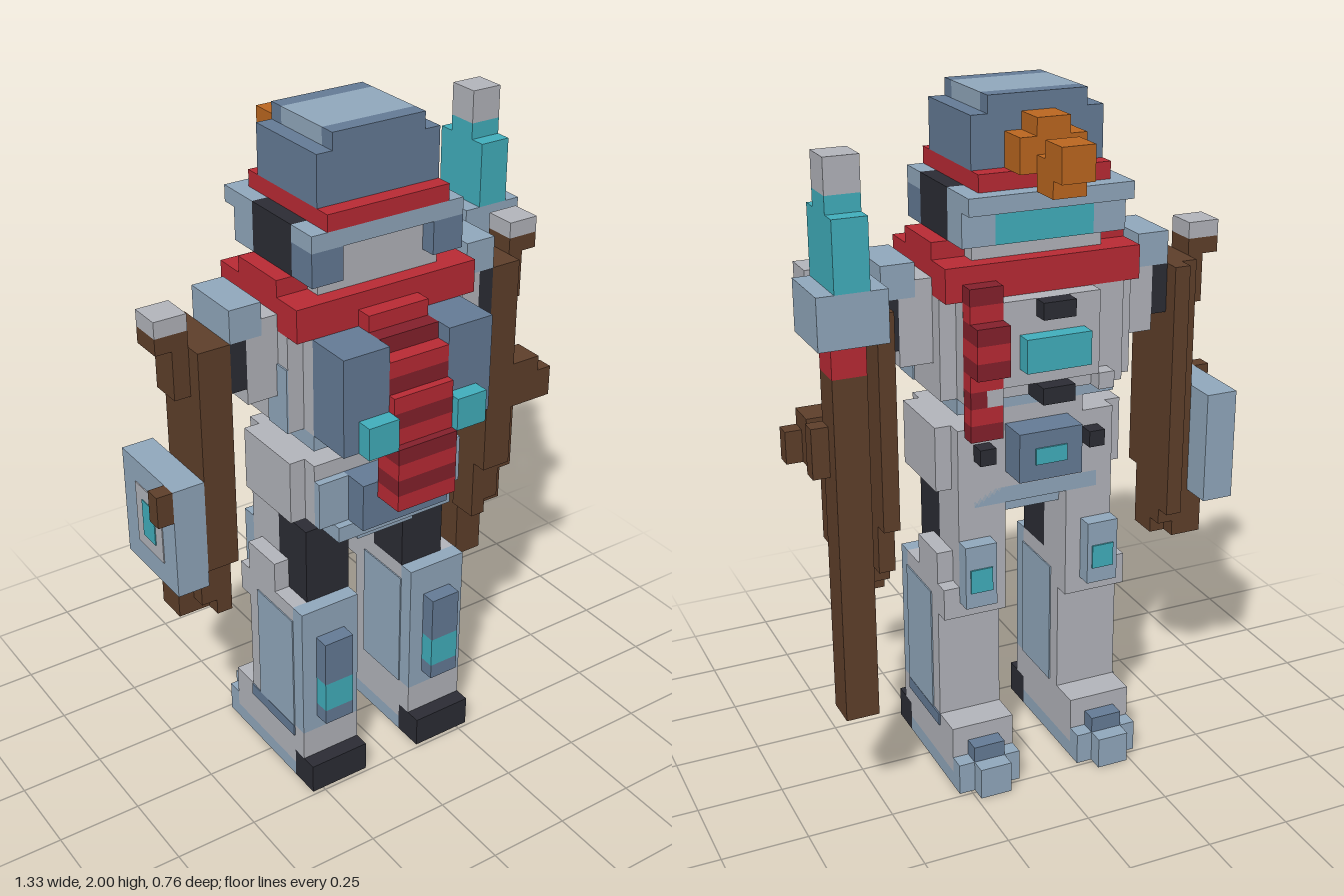
import * as THREE from 'three';

const U = 1 / 21; // one block
const mat = (name, color) => {
  const m = new THREE.MeshStandardMaterial({ color });
  m.name = name;
  return m;
};

export function createModel() {
  const steel = mat('steelBlue', 0x667d98), light = mat('paleBlue', 0x93aabf), grey = mat('grey', 0xb5b7be),
    black = mat('charcoal', 0x2c2d35), red = mat('red', 0xbc2b35), wine = mat('darkRed', 0x86212c),
    teal = mat('teal', 0x42b1bf), wood = mat('brown', 0x60402b), orange = mat('orange', 0xbe6820);
  const model = new THREE.Group();
  model.name = 'blockRobot';

  // box from block ranges; pair also adds the mirrored copy
  const box = (name, m, x0, x1, y0, y1, z0, z1) => {
    const mesh = new THREE.Mesh(new THREE.BoxGeometry((x1 - x0) * U, (y1 - y0) * U, (z1 - z0) * U), m);
    mesh.position.set((x0 + x1) / 2 * U, (y0 + y1) / 2 * U, (z0 + z1) / 2 * U);
    mesh.name = name;
    model.add(mesh);
  };
  const pair = (name, m, x0, x1, ...r) => {
    box(name + 'Left', m, x0, x1, ...r);
    box(name + 'Right', m, -x1, -x0, ...r);
  };

  // feet
  pair('toe', black, 2, 6, 0, 2, 3, 5);
  pair('sole', light, 2, 6, 0, 1, -5, 3);
  pair('foot', grey, 2, 6, 1, 2, -4, 3);
  pair('ankle', grey, 2, 6, 2, 4, -4, 4);
  pair('heelTop', steel, 3, 5, 2, 3, -5, -4);
  pair('heelBase', light, 2, 6, 1, 2, -5, -4);
  pair('heelTip', light, 3, 5, 0, 2, -6, -5);

  // shins with front and side armour
  pair('shin', grey, 2, 6, 4, 13, -2, 3);
  pair('calfTop', grey, 2, 6, 11, 13, -3, -2);
  pair('shinFront', light, 2, 6, 4, 13, 3, 4);
  pair('shinSide', light, 6, 6.08, 4, 12, -1, 3);
  pair('shinInner', light, 1.92, 2, 4, 12, -1, 3);
  pair('shinTrim', steel, 6, 6.1, 3.2, 4, -2, 3);
  pair('kneeGuardTop', steel, 3, 5, 8, 11, 4, 5);
  pair('kneeLight', teal, 3, 5, 6, 8, 4, 5);
  pair('kneeGuardBase', steel, 3, 5, 5, 6, 4, 5);
  pair('kneeBack', light, 3, 5, 12, 16, -4, -3);
  pair('kneeBackLight', teal, 3.3, 4.7, 13, 14.5, -4.1, -4);

  // thighs
  pair('thigh', black, 2, 5, 13, 18, 0, 3);
  pair('thighBack', grey, 2, 5, 13, 19, -3, 0);
  pair('thighSide', grey, 5, 6, 13, 15, -2, 1);

  // pelvis and waist
  box('crotch', light, -2, 2, 17, 18, -2, 4);
  box('pelvisBase', light, -4, 4, 18, 19, -3, 5);
  box('pelvis', grey, -5, 5, 19, 23, -3, 4);
  pair('hip', grey, 5, 6, 19, 23, -2, 3);
  box('frontBelt', steel, -3, 3, 19, 22, 4, 6);
  pair('beltSide', light, 3, 5, 19, 22, 4, 4.5);
  box('buckle', steel, -2, 2, 20, 23, -5, -3);
  box('buckleLight', teal, -1, 1, 21, 22, -5.1, -5);
  pair('beltStud', black, 3, 4, 21, 22, -4, -3);
  box('waist', grey, -3, 3, 23, 24, -3, 3);
  box('waistRib', light, -5, 5, 24, 25, -3, 4);

  // torso
  box('torso', grey, -5, 5, 25, 31, -4, 4);
  pair('ribs', grey, 5, 6, 25, 31, -3, 3);
  pair('ribPlate', light, 6, 6.1, 25, 29, 1, 3);
  pair('chestPlate', steel, 2, 5, 25, 31, 4, 7);
  box('chestCore', steel, -2, 2, 25, 31, 4, 5);
  pair('chestLight', teal, 2, 4, 25, 27, 7, 8);
  box('backPlate', grey, -3, 3, 26, 31, -5, -4);
  box('backLight', teal, -2, 2, 27, 29, -6, -5);
  box('backVentLow', black, -1, 1, 25, 26, -6, -4);
  box('backVentHigh', black, -1, 1, 30, 31, -6, -5);
  pair('backRib', grey, 3, 4, 25, 26, -5, -4);

  // scarf: collar, front strip and back tail
  box('scarfCollar', red, -6, 6, 31, 33, -4, 4);
  pair('scarfRoll', red, 4, 6, 33, 34, -2, 2);
  box('scarfKnot', red, -2, 2, 31, 32, 4, 5);
  for (let y = 21; y < 31; y++) {
    const z = y < 25 ? 8 : y < 28 ? 7.5 : y < 30 ? 7 : 6;
    box('scarfStripe', y % 2 ? red : wine, -2, 2, y, y + 1, y < 25 ? 6 : 5, z);
  }
  for (let y = 23; y < 32; y++) {
    const out = y > 26 && y < 30 ? -6 : -5;
    box('scarfTail', y % 2 ? wine : red, 3, 5, y, y + 1, out, out === -6 ? -4 : -4.01);
  }

  // head and helmet
  box('head', grey, -4, 4, 33, 36, -3, 3);
  pair('ear', black, 4, 5, 34, 37, -2, 2);
  pair('cheek', steel, 3, 5, 34, 36, 2, 4);
  pair('cheekBack', light, 3, 5, 34, 36, -4, -2);
  box('rearVisor', teal, -3, 3, 34, 36, -4, -3);
  box('browFront', light, -5, 5, 36, 37, 2, 4);
  box('browBack', light, -5, 5, 36, 37, -5, -2);
  box('headTop', black, -4, 4, 36, 37, -2, 2);
  box('hatBand', red, -4, 4, 37, 38, -4, 4);
  box('hatCrown', steel, -4, 4, 38, 41, -3, 3);
  box('hatLid', light, -3, 3, 41, 42, -2, 2);
  box('hatLidFront', steel, -3, 3, 41, 42, 2, 3);
  box('hatLidBack', steel, -3, 3, 41, 42, -3, -2);

  // feather-like ornament behind the hat
  box('ornamentBase', orange, -2, 2, 38, 40, -5, -3);
  box('ornamentPeak', orange, -1, 1, 40, 41, -5, -3);
  box('ornamentStem', orange, -1, 1, 37, 39, -7, -5);
  box('ornamentTip', orange, -1, 1, 38, 40, -8, -6);

  // arms
  pair('upperArm', grey, 6, 8, 27, 31, -2, 2);
  pair('shoulder', grey, 6, 7, 31, 32, -2, 2);
  pair('shoulderPad', light, 7, 9, 31, 33, -2, 2);
  pair('armJoint', black, 8, 9, 28, 31, -2, 2);
  pair('forearm', wood, 9, 11, 17, 31, -2, 2);
  pair('forearmBack', wood, 9, 10, 15, 31, -3, -2);
  pair('hand', wood, 9, 11, 14, 17, -2, 1);
  pair('finger', wood, 9, 10, 13, 14, -1, 1);
  pair('fingerTip', wood, 10, 12, 13, 16, -2, 0);
  pair('branch', wood, 11, 12, 28, 31, -1, 1);
  pair('branchTop', wood, 11, 13, 31, 32, -1, 1);
  pair('branchCap', grey, 11, 13, 32, 33, -1, 1);
  pair('twig', wood, 13, 14, 21, 23, 1, 2);
  box('gripRoot', wood, 9, 10, 18, 31, -4, -3);
  box('grip', wood, 11, 13, 21, 24, 0, 2);
  box('gripLow', wood, 11, 12, 16, 21, -1, 1);

  // shield on the right arm
  box('shield', light, -13, -11, 16, 23, -4, 2);
  box('shieldRing', grey, -13.06, -13, 17.5, 21.5, -2.5, 0.5);
  box('shieldLight', teal, -13.12, -13.06, 18.3, 20.7, -1.7, -0.3);

  // staff by the left arm
  box('staffShaft', wood, 11, 13, 7, 28, -5, -3);
  box('staffKnob', wood, 13, 14, 22, 25, -4, -3);
  box('staffBinding', red, 11, 13, 28, 30, -5, -3);
  box('staffCup', light, 10, 14, 30, 33, -6, -2);
  box('staffCrystal', teal, 11, 13, 33, 37, -6, -2);
  box('staffCrystalTop', teal, 11, 13, 37, 38, -5, -3);
  box('staffTip', grey, 11, 13, 38, 40, -5, -3);

  return model;
}
